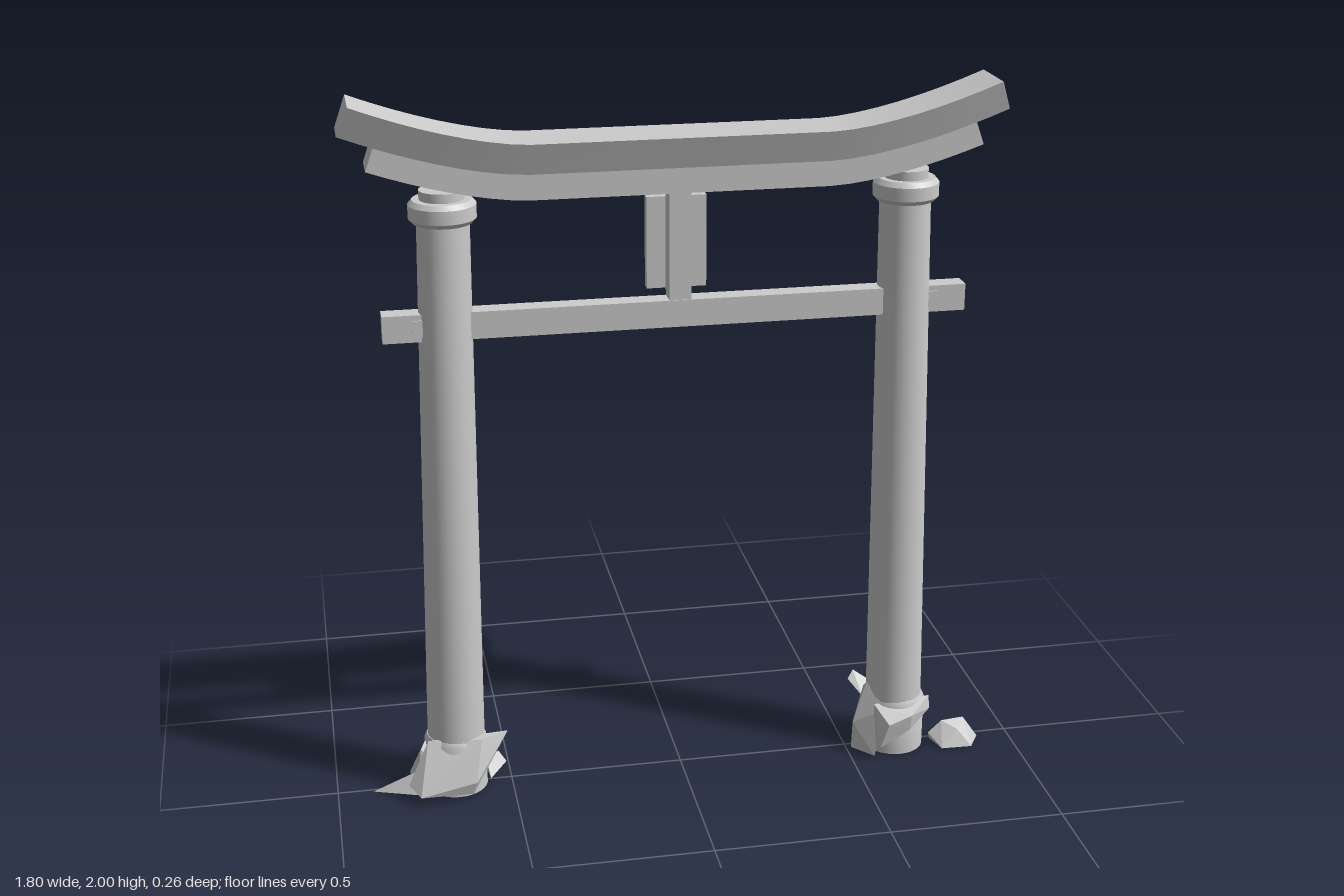
import * as THREE from 'three';
import { toCreasedNormals } from 'three/addons/utils/BufferGeometryUtils.js';
import { ConvexGeometry } from 'three/addons/geometries/ConvexGeometry.js';

const stone = new THREE.MeshStandardMaterial({ color: 0xcccccc });
const rough = new THREE.MeshStandardMaterial({ color: 0xcccccc, flatShading: true });

function add(parent, name, geometry, material = stone) {
  const mesh = new THREE.Mesh(geometry, material);
  mesh.name = name;
  parent.add(mesh);
  return mesh;
}

function box(parent, name, w, h, d, x, y, z) {
  add(parent, name, new THREE.BoxGeometry(w, h, d)).position.set(x, y, z);
}

// Beam that is level in the middle and sweeps up towards both ends
function sweptBeam(endX, bottomY, height, bottomHalf, topHalf) {
  const flat = 0.4, rise = 0.12, span = 0.49, power = 1.6, steps = 8;
  const xs = [];
  for (let i = 0; i <= steps; i++) xs.push(flat + (endX - flat) * i / steps);
  const stations = [...xs.map(x => -x).reverse(), ...xs];
  const pos = [], index = [];
  stations.forEach((x, i) => {
    const t = (Math.abs(x) - flat) / span;
    const y = bottomY + rise * Math.pow(t, power);
    const angle = Math.sign(x) * Math.atan(rise * power / span * Math.pow(t, power - 1));
    const tx = x - height * Math.sin(angle), ty = y + height * Math.cos(angle);
    pos.push(x, y, bottomHalf, tx, ty, topHalf, tx, ty, -topHalf, x, y, -bottomHalf);
    if (i === 0) return;
    for (let k = 0; k < 4; k++) {
      const n = (k + 1) % 4, p = (i - 1) * 4, q = i * 4;
      index.push(p + k, q + k, q + n, p + k, q + n, p + n);
    }
  });
  const e = (stations.length - 1) * 4;
  index.push(0, 1, 2, 0, 2, 3, e, e + 2, e + 1, e, e + 3, e + 2);
  const geo = new THREE.BufferGeometry();
  geo.setAttribute('position', new THREE.Float32BufferAttribute(pos, 3));
  geo.setIndex(index);
  return toCreasedNormals(geo, 0.5);
}

function turned(profile) {
  const points = profile.map(([r, y]) => new THREE.Vector2(r, y));
  return toCreasedNormals(new THREE.LatheGeometry(points, 32), 0.5);
}

function createPillar(side) {
  const pillar = new THREE.Group();
  pillar.name = side > 0 ? 'leftPillar' : 'rightPillar';
  // Tapered shaft leaning slightly inwards
  const shaft = turned([[0, 0.1], [0.082, 0.1], [0.07, 1.7], [0, 1.7]]);
  const lean = new THREE.Matrix4();
  lean.elements[4] = -side * 0.016;
  add(pillar, 'shaft', shaft.applyMatrix4(lean));
  add(pillar, 'footSleeve', turned([[0, 0], [0.088, 0], [0.088, 0.155], [0.081, 0.17], [0, 0.17]]));
  const collar = add(pillar, 'collar', turned([[0, 1.672], [0.078, 1.672], [0.09, 1.685],
    [0.09, 1.722], [0.079, 1.735], [0.06, 1.735], [0.06, 1.76], [0, 1.76]]));
  collar.position.x = -side * 0.026;
  pillar.position.x = side * 0.653;
  return pillar;
}

// Broken rocks around the feet, each the hull of a few corners
const rocks = {
  rightFrontBoulder: [[-0.74, 0.175, 0.06], [-0.59, 0.175, 0.08], [-0.51, 0.17, 0.03], [-0.62, 0.02, 0.11],
    [-0.8, 0.05, 0.08], [-0.77, 0.03, 0.125], [-0.61, 0.06, 0.12], [-0.7, 0.02, 0.02]],
  rightBackBoulder: [[-0.72, 0.15, -0.07], [-0.63, 0.19, -0.132], [-0.58, 0.17, -0.08], [-0.6, 0.02, -0.09],
    [-0.72, 0.02, -0.09], [-0.66, 0.06, -0.12], [-0.65, 0.1, 0]],
  rightOuterRock: [[-0.72, 0.18, -0.03], [-0.76, 0.14, 0.04], [-0.79, 0.02, -0.05], [-0.78, 0, 0.05],
    [-0.7, 0, -0.07], [-0.7, 0.05, 0.05]],
  rightShard: [[-0.9, 0, 0.01], [-0.77, 0.065, 0.03], [-0.76, 0, 0.06], [-0.75, 0, -0.05], [-0.76, 0.04, -0.02]],
  rightChip: [[-0.51, 0.03, -0.04], [-0.53, 0.05, -0.07], [-0.57, 0.05, -0.03], [-0.53, 0, -0.05],
    [-0.57, 0, -0.09], [-0.56, 0, 0]],
  leftInnerRock: [[0.56, 0.21, 0.01], [0.515, 0.09, 0.03], [0.515, 0, 0.02], [0.57, 0, 0.085],
    [0.6, 0.15, 0.08], [0.57, 0.16, -0.06], [0.55, 0, -0.05]],
  leftFrontRock: [[0.57, 0.16, 0.06], [0.74, 0.168, 0.05], [0.74, 0.13, 0.06], [0.67, 0.09, 0.105],
    [0.58, 0.04, 0.11], [0.57, 0.02, 0.06], [0.6, 0.12, 0.125], [0.67, 0.14, 0.115]],
  leftBackSlab: [[0.53, 0.17, -0.09], [0.55, 0.19, -0.11], [0.57, 0.13, -0.1], [0.56, 0.14, -0.03],
    [0.62, 0.15, -0.07]],
  leftBackChip: [[0.61, 0.15, -0.09], [0.68, 0.16, -0.09], [0.73, 0.16, -0.09], [0.66, 0.12, -0.09],
    [0.65, 0.15, -0.05], [0.7, 0.17, -0.05]],
  loosePebble: [[0.75, 0.03, 0.03], [0.79, 0.067, 0.03], [0.86, 0.067, 0.02], [0.9, 0.01, 0.04], [0.89, 0, 0.0],
    [0.8, 0, -0.02], [0.78, 0, 0.08], [0.87, 0, 0.083], [0.83, 0.05, 0.06], [0.76, 0, 0.01]],
};

export function createModel() {
  const gate = new THREE.Group();
  gate.name = 'gate';
  const frame = new THREE.Group();
  frame.name = 'frame';
  frame.position.x = -0.005;
  gate.add(frame);

  add(frame, 'topLintel', sweptBeam(0.89, 1.8, 0.085, 0.056, 0.083));
  add(frame, 'lowerLintel', sweptBeam(0.822, 1.732, 0.07, 0.056, 0.056));

  // Tie beam with a wedge beside each pillar
  box(frame, 'tieBeam', 1.6, 0.075, 0.056, 0, 1.393, 0.003);
  for (const side of [1, -1]) {
    frame.add(createPillar(side));
    box(frame, 'wedge', 0.03, 0.045, 0.064, side * 0.705, 1.393, 0.003);
  }

  // Short strut with a framed tablet on its back
  box(frame, 'strut', 0.06, 0.31, 0.056, 0, 1.58, 0);
  box(frame, 'tablet', 0.155, 0.24, 0.02, 0, 1.577, -0.038);
  for (const side of [1, -1]) {
    box(frame, 'tabletSideRail', 0.014, 0.254, 0.03, side * 0.075, 1.577, -0.043);
    box(frame, 'tabletCrossRail', 0.136, 0.014, 0.03, 0, 1.577 + side * 0.12, -0.043);
  }

  for (const [name, corners] of Object.entries(rocks)) {
    add(gate, name, new ConvexGeometry(corners.map(c => new THREE.Vector3(...c))), rough);
  }
  return gate;
}
